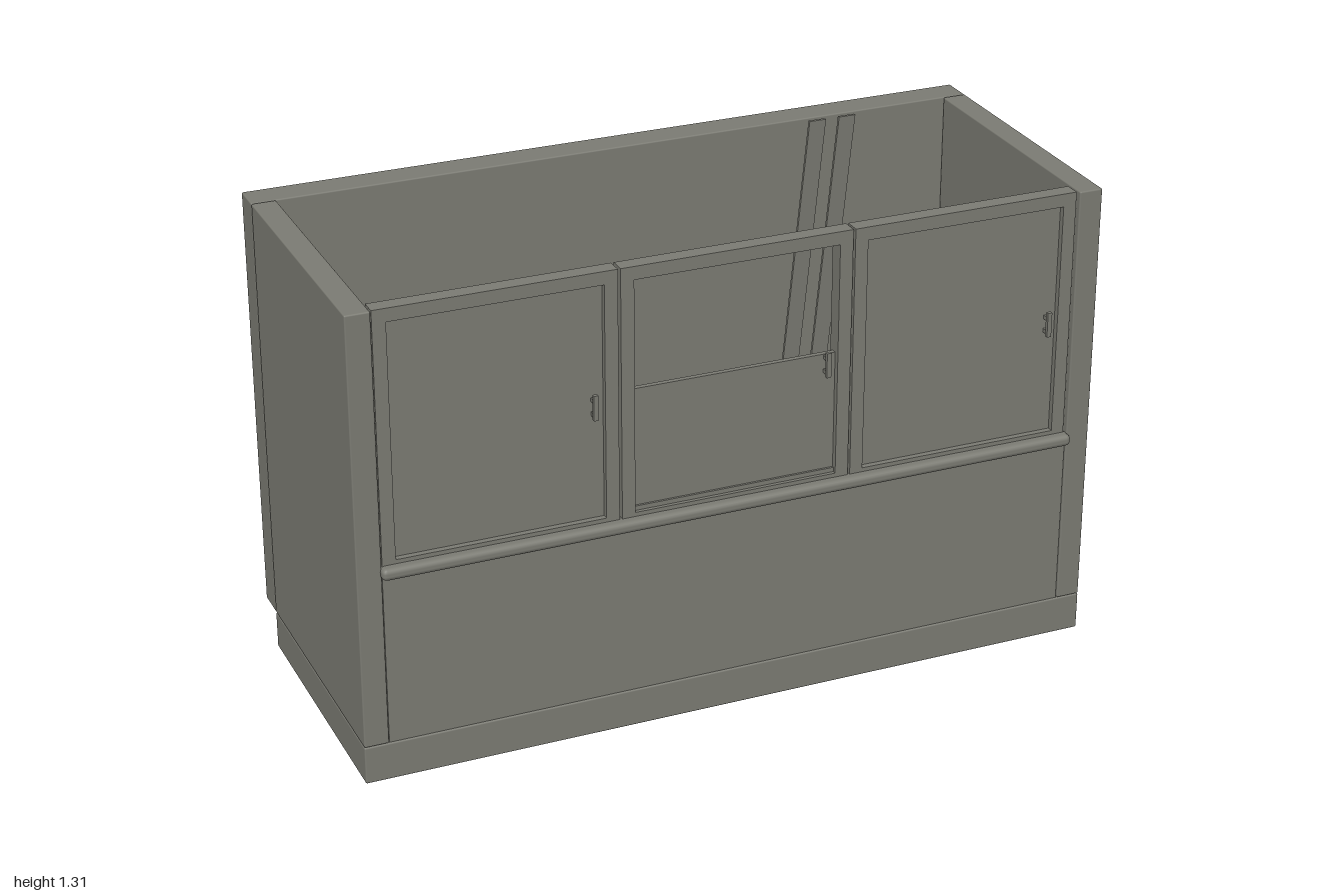
import * as THREE from 'three';
import { RoundedBoxGeometry } from 'three/addons/geometries/RoundedBoxGeometry.js';

const paint = (name, color) => {
  const m = new THREE.MeshStandardMaterial({ color });
  m.name = name;
  return m;
};

export function createModel() {
  const root = new THREE.Group();
  root.name = 'balcony';
  const grey = paint('concreteGrey', 0x7b7b73);
  const red = paint('sledRed', 0x66322b);
  const brown = paint('cardboardBrown', 0x736148);

  const add = (parent, name, geometry, material = grey) => {
    const mesh = new THREE.Mesh(geometry, material);
    mesh.name = name;
    parent.add(mesh);
    return mesh;
  };
  // Box given by its extents on each axis
  const block = (parent, name, [x0, x1], [y0, y1], [z0, z1], material = grey, bevel = 0) => {
    const size = [x1 - x0, y1 - y0, z1 - z0];
    const geometry = bevel ? new RoundedBoxGeometry(...size, 2, bevel) : new THREE.BoxGeometry(...size);
    const mesh = add(parent, name, geometry, material);
    mesh.position.set((x0 + x1) / 2, (y0 + y1) / 2, (z0 + z1) / 2);
    return mesh;
  };

  // Shell: floor slab, back wall, side walls, parapet and sill
  block(root, 'floorSlab', [-1, 1], [0, 0.102], [-0.34, 0.405], grey, 0.004);
  block(root, 'backWall', [-1, 1], [0.103, 1.265], [-0.425, -0.342], grey, 0.004);
  block(root, 'rightWall', [-1, -0.936], [0.103, 1.265], [-0.34, 0.405], grey, 0.004);
  block(root, 'leftWall', [0.936, 1], [0.103, 1.265], [-0.34, 0.405], grey, 0.004);
  block(root, 'parapet', [-0.934, 0.934], [0.102, 0.57], [0.325, 0.4]);
  block(root, 'sill', [-0.94, 0.94], [0.562, 0.594], [0.36, 0.426], grey, 0.013);

  // Three window frames; the middle pane covers only the lower half
  const windows = [
    { name: 'rightWindow', x: -0.625, paneTop: 1.24 },
    { name: 'middleWindow', x: -0.002, paneTop: 0.935 },
    { name: 'leftWindow', x: 0.62, paneTop: 1.24 },
  ];
  for (const { name, x, paneTop } of windows) {
    const win = new THREE.Group();
    win.name = name;
    win.position.x = x;
    root.add(win);

    const frame = new THREE.Shape([[-0.308, 0.57], [0.308, 0.57], [0.308, 1.265], [-0.308, 1.265]]
      .map(([a, b]) => new THREE.Vector2(a, b)));
    frame.holes.push(new THREE.Path([[-0.273, 0.605], [-0.273, 1.23], [0.273, 1.23], [0.273, 0.605]]
      .map(([a, b]) => new THREE.Vector2(a, b))));
    const frameMesh = add(win, 'windowFrame',
      new THREE.ExtrudeGeometry(frame, { depth: 0.043, bevelEnabled: false }));
    frameMesh.position.z = 0.357;

    block(win, 'pane', [-0.275, 0.275], [0.6, paneTop], [0.37, 0.384]);
    if (paneTop < 1) block(win, 'paneBottomRail', [-0.273, 0.273], [0.6, 0.617], [0.384, 0.39]);

    // Pull handle on two stubs
    block(win, 'handle', [0.239, 0.251], [0.88, 0.947], [0.4, 0.41]);
    for (const y of [0.885, 0.922]) block(win, 'handleStub', [0.241, 0.249], [y, y + 0.01], [0.384, 0.402]);
  }

  // Pair of skis, sheared so they lean sideways and forward
  for (const x of [0.414, 0.499]) {
    const geometry = new THREE.BoxGeometry(0.047, 1.207, 0.008, 1, 8, 1);
    geometry.translate(0, 0.6035, 0);
    const p = geometry.attributes.position;
    for (let i = 0; i < p.count; i++) {
      const t = p.getY(i) / 1.207;
      p.setX(i, p.getX(i) + 0.084 * t);
      p.setZ(i, p.getZ(i) + 0.065 * t);
    }
    geometry.computeVertexNormals();
    add(root, 'ski', geometry.toNonIndexed()).position.set(x, 0.102, -0.278);
  }

  // Sled: deck on legs with upturned runners
  const sled = new THREE.Group();
  sled.name = 'sled';
  sled.position.set(-0.458, 0.102, 0.028);
  sled.rotation.y = -0.135;
  root.add(sled);
  block(sled, 'sledDeck', [-0.372, 0.372], [0.13, 0.16], [-0.139, 0.139], red);
  for (const z of [-0.118, 0.118]) {
    const path = new THREE.CatmullRomCurve3([[0.35, 0.008], [0, 0.008], [-0.32, 0.008],
      [-0.405, 0.035], [-0.425, 0.085], [-0.4, 0.125], [-0.35, 0.135]]
      .map(([x, y]) => new THREE.Vector3(x, y, z)));
    add(sled, 'sledRunner', new THREE.TubeGeometry(path, 40, 0.007, 8));
    for (const x of [-0.25, 0, 0.25]) {
      block(sled, 'sledLeg', [x - 0.008, x + 0.008], [0.008, 0.132], [z - 0.006, z + 0.006]);
    }
  }

  // Cardboard box
  const carton = block(root, 'cardboardBox', [-0.04, 0.37], [0.102, 0.402], [-0.055, 0.275], brown);
  carton.rotation.y = 0.2;

  return root;
}
